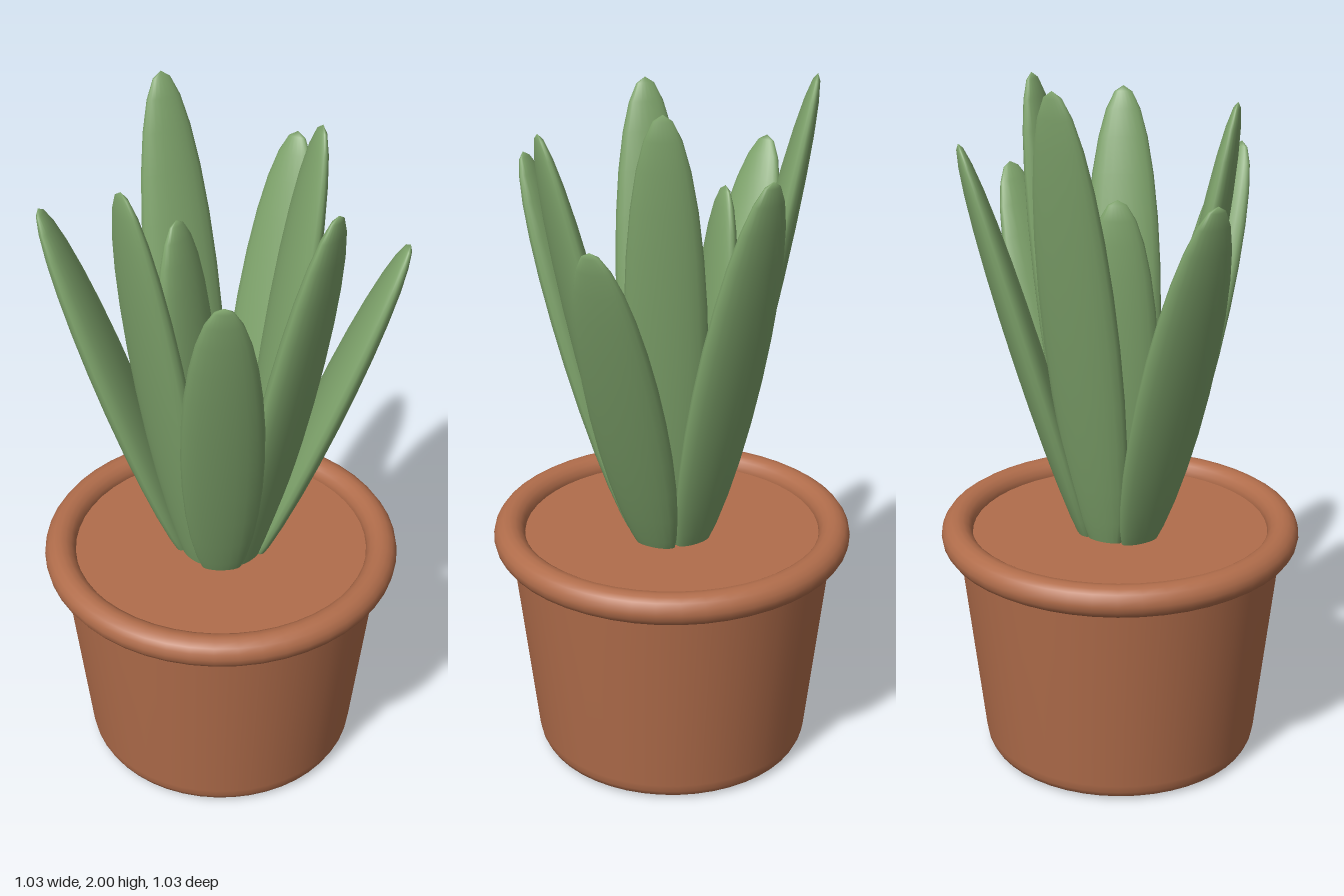
import * as THREE from 'three';

export function createModel() {
  const model = new THREE.Group();
  const terracotta = new THREE.MeshStandardMaterial({ name: 'terracotta', color: 0xb16d4b });
  const leafGreen = new THREE.MeshStandardMaterial({ name: 'leaf green', color: 0x7ea36b });

  const add = (name, geometry, material, parent = model) => {
    const mesh = new THREE.Mesh(geometry, material);
    mesh.name = name;
    parent.add(mesh);
    return mesh;
  };

  // Tapered pot with a rounded bottom edge
  const profile = [[0, 0], [0.36, 0], [0.375, 0.003], [0.389, 0.012], [0.397, 0.028],
    [0.401, 0.05], [0.433, 0.34], [0.465, 0.63], [0.466, 0.66]];
  add('pot', new THREE.LatheGeometry(profile.map(([r, y]) => new THREE.Vector2(r, y)), 48), terracotta);

  // Round rim and the flat fill inside it
  add('rim', new THREE.TorusGeometry(0.47, 0.045, 16, 48).rotateX(Math.PI / 2), terracotta).position.y = 0.67;
  add('soil', new THREE.CircleGeometry(0.46, 48).rotateX(-Math.PI / 2), terracotta).position.y = 0.672;

  // Leaves: flattened ellipsoids leaning outward, each given by its tip
  const leaves = new THREE.Group();
  leaves.name = 'leaves';
  model.add(leaves);
  const tips = [
    [-0.03, 2.0, -0.38], [0.33, 1.81, -0.28], [-0.425, 1.73, -0.24],
    [-0.3, 1.92, 0.1], [-0.15, 1.74, 0.425], [0.185, 1.88, 0.33],
    [0.28, 1.96, 0], [0.47, 1.66, 0.165], [-0.075, 1.68, -0.14],
  ];
  const leafShape = new THREE.SphereGeometry(1, 20, 14);
  for (const [x, y, z] of tips) {
    const tip = new THREE.Vector3(x, y, z);
    const outward = new THREE.Vector3(x, 0, z).normalize();
    const base = outward.clone().multiplyScalar(0.08).setY(0.59);
    const axis = tip.clone().sub(base);
    const half = axis.length() / 2;
    axis.normalize();
    const side = new THREE.Vector3().crossVectors(axis, outward).normalize();
    const normal = new THREE.Vector3().crossVectors(side, axis);
    const leaf = add('leaf', leafShape, leafGreen, leaves);
    leaf.quaternion.setFromRotationMatrix(new THREE.Matrix4().makeBasis(side, axis, normal));
    leaf.position.copy(base).add(tip).multiplyScalar(0.5);
    leaf.scale.set(0.113, half, 0.044);
  }
  return model;
}
